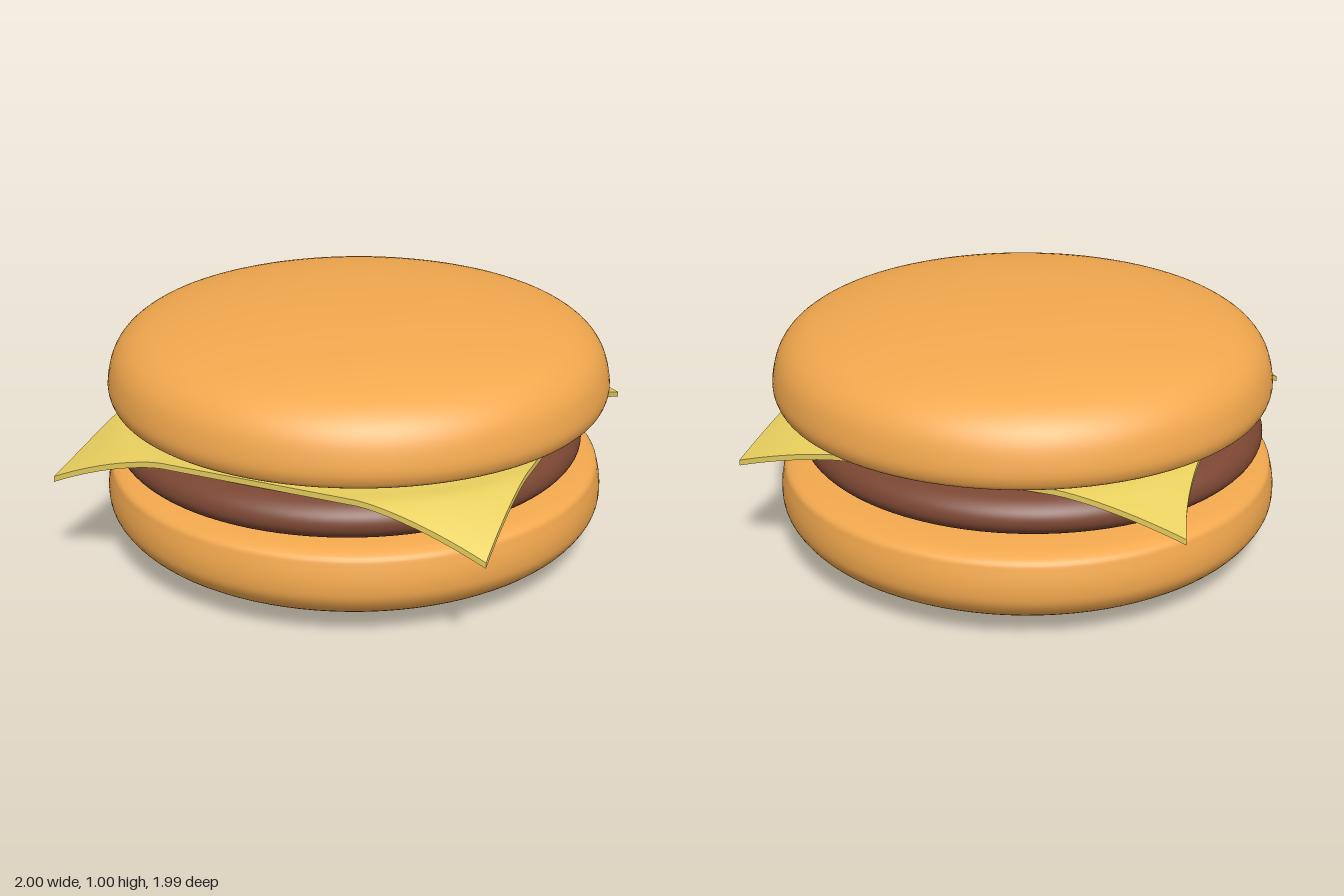
import * as THREE from 'three';

const bunMat = new THREE.MeshStandardMaterial({ color: 0xf2a84e });
const pattyMat = new THREE.MeshStandardMaterial({ color: 0x7a4632 });
const cheeseMat = new THREE.MeshStandardMaterial({ color: 0xe8cf5e });

// Smooth round part turned from a profile of [radius, height], bottom to top
function turned(name, profile, material, x, z) {
  const curve = new THREE.SplineCurve(profile.map(([r, y]) => new THREE.Vector2(r, y)));
  const points = curve.getPoints(60);
  points.forEach((p) => { p.x = Math.max(0, p.x); });
  const mesh = new THREE.Mesh(new THREE.LatheGeometry(points, 96), material);
  mesh.name = name;
  mesh.position.set(x, 0, z);
  return mesh;
}

// Thin square slice whose corners flare out and droop
function cheeseSlice() {
  const geometry = new THREE.BoxGeometry(2, 0.022, 2, 40, 1, 40);
  const pos = geometry.attributes.position;
  const { lerp } = THREE.MathUtils;
  for (let i = 0; i < pos.count; i++) {
    const u = pos.getX(i), v = pos.getZ(i);
    const back = (1 - v) / 2, right = (1 + u) / 2;
    // Outline: each side is the mid-edge position plus a corner flare
    const left = -0.79 - 0.065 * Math.abs(v) ** 4;
    const rightEdge = 0.85 + (v < 0 ? 0.05 * v * v : 0);
    const backEdge = -0.76 + (u > 0 ? 0.04 * u ** 3 : 0);
    const x = lerp(left, rightEdge, right);
    const z = lerp(0.88, backEdge, back);
    // Corners sag beyond the rim of the patty
    const rho = Math.hypot(u, v);
    const sag = Math.max(0, (rho - 1.1) / 0.314) ** 1.25;
    const depth = lerp(0.14, 0.11, back);
    const y = 0.563 - 0.008 * Math.min(1, rho) ** 4 - depth * sag + pos.getY(i);
    pos.setXYZ(i, x, y, z);
  }
  geometry.computeVertexNormals();
  const mesh = new THREE.Mesh(geometry, cheeseMat);
  mesh.name = 'cheeseSlice';
  return mesh;
}

export function createModel() {
  const model = new THREE.Group();
  model.name = 'cheeseburger';

  model.add(turned('bottomBun', [
    [0, 0.003], [0.3, 0.008], [0.6, 0.027], [0.8, 0.057], [0.92, 0.105], [0.98, 0.17],
    [0.993, 0.235], [0.982, 0.31], [0.96, 0.35], [0.87, 0.372], [0.7, 0.379], [0.35, 0.38], [0, 0.38],
  ], bunMat, -0.007, 0));

  model.add(turned('patty', [
    [0, 0.37], [0.4, 0.37], [0.75, 0.373], [0.86, 0.388], [0.91, 0.42], [0.924, 0.458],
    [0.905, 0.5], [0.85, 0.532], [0.75, 0.544], [0.4, 0.546], [0, 0.546],
  ], pattyMat, -0.015, 0.035));

  model.add(cheeseSlice());

  model.add(turned('topBun', [
    [0, 0.572], [0.35, 0.573], [0.65, 0.576], [0.85, 0.588], [0.95, 0.612], [0.98, 0.645],
    [0.984, 0.7], [0.958, 0.79], [0.9, 0.858], [0.8, 0.908], [0.6, 0.957], [0.32, 0.99], [0, 1],
  ], bunMat, 0.015, 0.006));

  return model;
}
